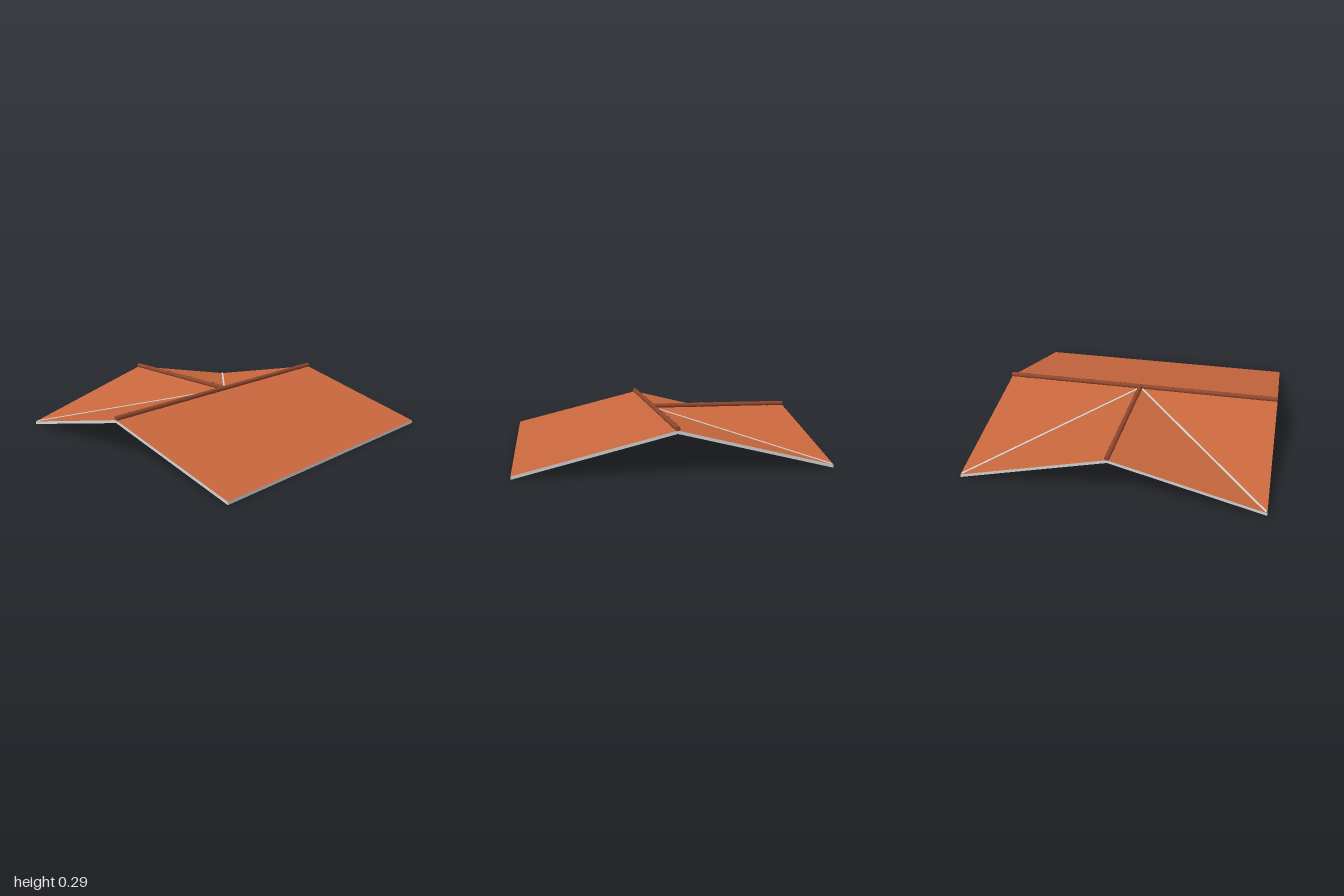
import * as THREE from 'three';

const X = 0.995, Z = 1, EAVE = 0.02, RIDGE = 0.265, THICK = 0.02;

const material = (name, color) => {
  const m = new THREE.MeshStandardMaterial({ color });
  m.name = name;
  return m;
};

// Flat-shaded polygon set: each polygon is a counter-clockwise fan of corners
function polygons(list) {
  const pos = [];
  for (const p of list) {
    for (let i = 1; i < p.length - 1; i++) pos.push(...p[0], ...p[i], ...p[i + 1]);
  }
  const g = new THREE.BufferGeometry();
  g.setAttribute('position', new THREE.Float32BufferAttribute(pos, 3));
  g.computeVertexNormals();
  return g;
}

export function createModel() {
  const clay = material('clay tile', 0xc8673d);
  const ridgeClay = material('dark ridge clay', 0x8f472d);
  const grey = material('light grey', 0xd4d4d4);
  const model = new THREE.Group();
  model.name = 'roof';

  const add = (name, geometry, mat, parent = model) => {
    const mesh = new THREE.Mesh(geometry, mat);
    mesh.name = name;
    parent.add(mesh);
    return mesh;
  };

  // Corners of the roof surface
  const hub = [0, RIDGE, 0], gableTop = [0, RIDGE, -Z];
  const frontL = [X, EAVE, Z], frontR = [-X, EAVE, Z];
  const ridgeL = [X, RIDGE, 0], ridgeR = [-X, RIDGE, 0];
  const backL = [X, EAVE, -Z], backR = [-X, EAVE, -Z];
  const panels = {
    frontSlope: [frontR, frontL, ridgeL, hub, ridgeR],
    backSlopeLeft: [hub, ridgeL, backL],
    backSlopeRight: [hub, backR, ridgeR],
    crossSlopeLeft: [hub, backL, gableTop],
    crossSlopeRight: [hub, gableTop, backR],
  };
  const lower = ([x, y, z]) => [x, y - THICK, z];

  // Tiled slopes and the underside below them
  for (const [name, p] of Object.entries(panels)) {
    add(name, polygons([p]), clay);
    add(name + 'Underside', polygons([p.map(lower).reverse()]), grey);
  }

  // Fascia around the rim
  const rim = [frontR, frontL, ridgeL, backL, gableTop, backR, ridgeR];
  add('fascia', polygons(rim.map((a, i) => {
    const b = rim[(i + 1) % rim.length];
    return [lower(a), lower(b), b, a];
  })), grey);

  // Round ridge caps with a narrow collar on every tile
  function ridge(name, length) {
    const group = new THREE.Group();
    group.name = name;
    add('ridgeCap', new THREE.CylinderGeometry(0.0165, 0.0165, length, 16), ridgeClay, group);
    for (let d = 0.125; d < length; d += 0.25) {
      add('collar', new THREE.CylinderGeometry(0.019, 0.019, 0.02, 16), ridgeClay, group)
        .position.y = d - length / 2;
    }
    model.add(group);
    return group;
  }
  const main = ridge('mainRidge', 2 * X);
  main.rotation.z = Math.PI / 2;
  main.position.y = 0.276;
  const cross = ridge('crossRidge', Z);
  cross.rotation.x = -Math.PI / 2;
  cross.position.set(0, 0.276, -Z / 2);

  // Valley flashing strips
  for (const s of [1, -1]) {
    const end = new THREE.Vector3(s * (X - 0.008), EAVE + 0.002, -Z + 0.008);
    const start = new THREE.Vector3(0, RIDGE, 0);
    const strip = add(s > 0 ? 'valleyLeft' : 'valleyRight',
      new THREE.BoxGeometry(0.014, 0.009, start.distanceTo(end)), grey);
    strip.position.copy(start).add(end).multiplyScalar(0.5);
    strip.lookAt(end);
  }
  return model;
}
